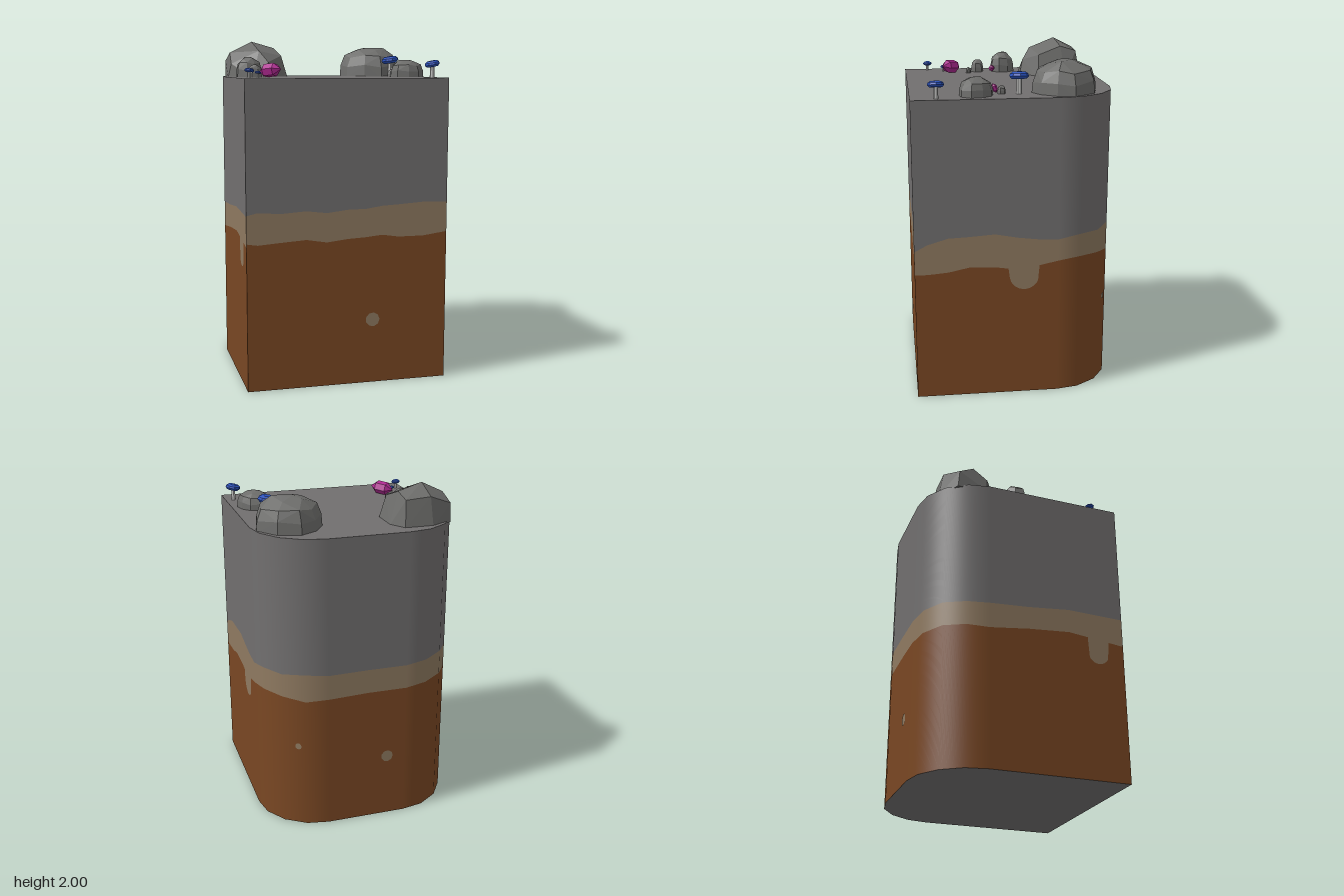
import * as THREE from 'three';
import { ConvexGeometry } from 'three/addons/geometries/ConvexGeometry.js';

const TOP = 1.78;
const mat = (name, color, extra = {}) => Object.assign(new THREE.MeshStandardMaterial({ color, ...extra }), { name });

export function createModel() {
  const group = new THREE.Group();
  const stone = mat('stone', 0x716f6f);
  const sand = mat('sand', 0x8e7960);
  const soil = mat('soil', 0x794723);
  const boulder = mat('boulder grey', 0x6d6d6b, { flatShading: true });
  const blue = mat('mushroom blue', 0x2a52bd, { flatShading: true });
  const pink = mat('crystal magenta', 0xb02a92, { flatShading: true });
  const pale = mat('stalk pale grey', 0xc4c4c2, { flatShading: true });

  const add = (name, geometry, material, parent = group) => {
    const m = new THREE.Mesh(geometry, material);
    m.name = name;
    parent.add(m);
    return m;
  };

  // Wall paths: x, z, lower and upper edge of the sand layer
  const front = [
    [-0.595, 0.595, 0.86, 1.02], [-0.53, 0.595, 0.85, 1.035], [-0.4, 0.595, 0.86, 1.025],
    [-0.25, 0.595, 0.87, 1.035], [-0.13, 0.595, 0.85, 1.02], [0, 0.595, 0.865, 1.035],
    [0.1, 0.595, 0.87, 1.035], [0.2, 0.595, 0.88, 1.05], [0.3, 0.595, 0.865, 1.055],
    [0.45, 0.595, 0.865, 1.065], [0.595, 0.595, 0.885, 1.06],
  ];
  const around = [
    [0.595, 0.595, 0.77, 0.91], [0.595, 0.52, 0.77, 0.95], [0.595, 0.4, 0.78, 0.985],
    [0.595, 0.28, 0.805, 0.99], [0.595, 0.13, 0.8, 1.0], [0.595, 0, 0.78, 0.975],
    [0.595, -0.12, 0.8, 0.96], [0.595, -0.24, 0.825, 0.955], [0.57, -0.37, 0.838, 0.975],
    [0.49, -0.49, 0.83, 0.97], [0.37, -0.57, 0.81, 0.98], [0.24, -0.595, 0.82, 0.97],
    [0, -0.595, 0.83, 0.975], [-0.24, -0.595, 0.83, 0.975], [-0.37, -0.57, 0.84, 0.985],
    [-0.49, -0.49, 0.848, 0.994], [-0.57, -0.37, 0.84, 0.985], [-0.595, -0.24, 0.83, 0.985],
    [-0.595, 0, 0.86, 1.0], [-0.595, 0.25, 0.88, 1.025], [-0.595, 0.595, 0.84, 1.015],
  ];
  // Sand pockets hanging below the layer: side of the block, z, radius, centre height
  const pockets = [[1, -0.04, 0.087, 0.745], [-1, 0.433, 0.065, 0.77]];

  const sample = (path) => {
    const out = [];
    for (let i = 0; i < path.length - 1; i++) {
      const a = path[i], b = path[i + 1];
      const n = Math.ceil(Math.hypot(b[0] - a[0], b[1] - a[1]) / 0.008);
      for (let k = 0; k <= n; k++) {
        if (k === n && i < path.length - 2) continue;
        const p = a.map((v, j) => v + (b[j] - v) * k / n);
        for (const [side, z, r, y] of pockets) {
          const d = Math.abs(p[1] - z);
          if (path === around && Math.abs(p[0] - side * 0.595) < 0.01 && d < r) {
            p[2] = Math.min(p[2], y - Math.sqrt(r * r - d * d));
          }
        }
        out.push(p);
      }
    }
    return out;
  };

  // Outward direction of the wall, rounded at the two back corners
  const wallNormal = (x, z) => {
    const dx = z > -0.24 ? x : Math.sign(x) * Math.max(Math.abs(x) - 0.24, 0);
    return new THREE.Vector3(dx, 0, Math.min(z + 0.24, 0)).normalize();
  };

  const strip = (points, isFront, lo, hi) => {
    const pos = [], nor = [], idx = [];
    points.forEach((p, i) => {
      const n = isFront ? new THREE.Vector3(0, 0, 1) : wallNormal(p[0], p[1]);
      pos.push(p[0], lo(p), p[1], p[0], hi(p), p[1]);
      nor.push(n.x, n.y, n.z, n.x, n.y, n.z);
      if (i) {
        const a = 2 * i - 2;
        idx.push(a, a + 2, a + 3, a, a + 3, a + 1);
      }
    });
    const g = new THREE.BufferGeometry();
    g.setAttribute('position', new THREE.Float32BufferAttribute(pos, 3));
    g.setAttribute('normal', new THREE.Float32BufferAttribute(nor, 3));
    g.setIndex(idx);
    return g;
  };

  for (const [label, path] of [['front', front], ['around', around]]) {
    const pts = sample(path), f = path === front;
    add(label + 'SoilLayer', strip(pts, f, () => 0, (p) => p[2]), soil);
    add(label + 'SandLayer', strip(pts, f, (p) => p[2], (p) => p[3]), sand);
    add(label + 'StoneLayer', strip(pts, f, (p) => p[3], () => TOP), stone);
  }

  // Top and bottom faces
  const outline = (s) => new THREE.ShapeGeometry(new THREE.Shape(around.map((p) => new THREE.Vector2(p[0], s * p[1]))));
  add('topFace', outline(-1).rotateX(-Math.PI / 2).translate(0, TOP, 0), stone);
  add('bottomFace', outline(1).rotateX(Math.PI / 2), stone);

  // Pebbles set into the soil: position, radius, facing direction
  for (const [x, y, z, r, nx, nz] of [
    [0.145, 0.38, 0.598, 0.042, 0, 1],
    [-0.125, 0.395, -0.598, 0.037, 0, -1],
    [0.413, 0.52, -0.547, 0.02, 0.55, -0.83],
  ]) {
    const p = add('soilPebble', new THREE.CircleGeometry(r, 9), sand);
    p.position.set(x, y, z);
    p.rotation.y = Math.atan2(nx, nz);
  }

  // Faceted boulders
  const hull = (name, points) => add(name, new ConvexGeometry(points.map((p) => new THREE.Vector3(...p))), boulder);
  hull('bigLeftBoulder', [
    ...[[-0.55, -0.43], [-0.41, -0.51], [-0.24, -0.51], [-0.18, -0.41], [-0.18, -0.23], [-0.31, -0.13], [-0.42, -0.13], [-0.56, -0.25]]
      .map(([x, z]) => [x, TOP - 0.01, z]),
    [-0.55, 1.88, -0.42], [-0.535, 1.93, -0.33], [-0.54, 1.86, -0.24], [-0.39, 2.0, -0.36], [-0.24, 1.96, -0.38],
    [-0.37, 1.94, -0.2], [-0.4, 1.94, -0.48], [-0.25, 1.93, -0.48], [-0.22, 1.91, -0.24], [-0.32, 1.87, -0.15],
  ]);

  // Dome built from shrinking rings: ring scale, relative height
  const dome = (name, cx, cz, h, ring) => hull(name, [[1, -0.05], [0.97, 0.35], [0.84, 0.7], [0.5, 0.94], [0.2, 1]].flatMap(([s, y], j) =>
    ring.filter((_, i) => j < 3 || i % 2 === j % 2)
      .map(([x, z], i) => [cx + x * s, TOP + h * (y + (j && j < 4 ? 0.05 * Math.sin(i * 2.4 + j) : 0)), cz + z * s])));
  const round = (r, n = 8, turn = 0.3) => Array.from({ length: n }, (_, i) => {
    const a = turn + i * 2 * Math.PI / n, k = r * (1 - 0.06 * (i % 3));
    return [Math.cos(a) * k, Math.sin(a) * k];
  });
  dome('bigRightBoulder', 0.385, -0.295, 0.182, [
    [-0.195, -0.025], [-0.13, -0.13], [-0.03, -0.19], [0.1, -0.155], [0.19, -0.03],
    [0.17, 0.07], [0.105, 0.155], [0.025, 0.195], [-0.08, 0.16], [-0.17, 0.055]]);
  dome('rightRock', 0.46, 0.225, 0.102, round(0.106, 9));
  dome('leftRock', -0.467, -0.03, 0.12, round(0.082, 8));
  dome('leftSmallRock', -0.457, 0.13, 0.075, round(0.046, 7));
  dome('leftPebble', -0.395, 0.192, 0.035, round(0.019, 6));
  dome('rightPebble', 0.417, 0.073, 0.045, round(0.027, 7));

  // Six-sided crystals with pointed ends, lying along the given direction
  const crystal = (name, at, len, r, dir) => {
    const prof = [[0, -0.5], [1, -0.22], [1, 0.22], [0, 0.5]].map(([x, y]) => new THREE.Vector2(x * r, y * len));
    const m = add(name, new THREE.LatheGeometry(prof, 6), pink);
    m.position.set(...at);
    m.quaternion.setFromUnitVectors(new THREE.Vector3(0, 1, 0), new THREE.Vector3(...dir).normalize());
  };
  crystal('largeCrystal', [-0.395, 1.823, 0.305], 0.155, 0.04, [0.7, 0.1, 0.75]);
  crystal('leftSmallCrystal', [-0.405, 1.805, 0.04], 0.045, 0.017, [0.5, 0.7, -0.3]);
  crystal('rightSmallCrystal', [0.42, 1.812, 0.113], 0.06, 0.016, [0.1, 0.9, 0.4]);

  // Mushrooms: x, z, cap radius, cap centre height, sideways tilt
  for (const [x, z, r, y, tilt] of [
    [0.44, -0.025, 0.056, 1.882, 0.15], [0.545, 0.45, 0.047, 1.858, 0.2],
    [-0.475, 0.35, 0.019, 1.81, -0.1], [-0.543, 0.45, 0.028, 1.823, -0.1],
  ]) {
    const m = new THREE.Group();
    m.name = 'mushroom';
    m.position.set(x, y, z);
    const h = y - TOP;
    add('stalk', new THREE.CylinderGeometry(r * 0.25, r * 0.3, h, 6), pale, m).position.y = -h / 2;
    const cap = [[0, -0.32], [0.75, -0.32], [1, -0.05], [0.93, 0.2], [0.65, 0.4], [0, 0.45]]
      .map(([a, b]) => new THREE.Vector2(a * r, b * r));
    add('cap', new THREE.LatheGeometry(cap, 8), blue, m).rotation.z = tilt;
    group.add(m);
  }
  return group;
}
